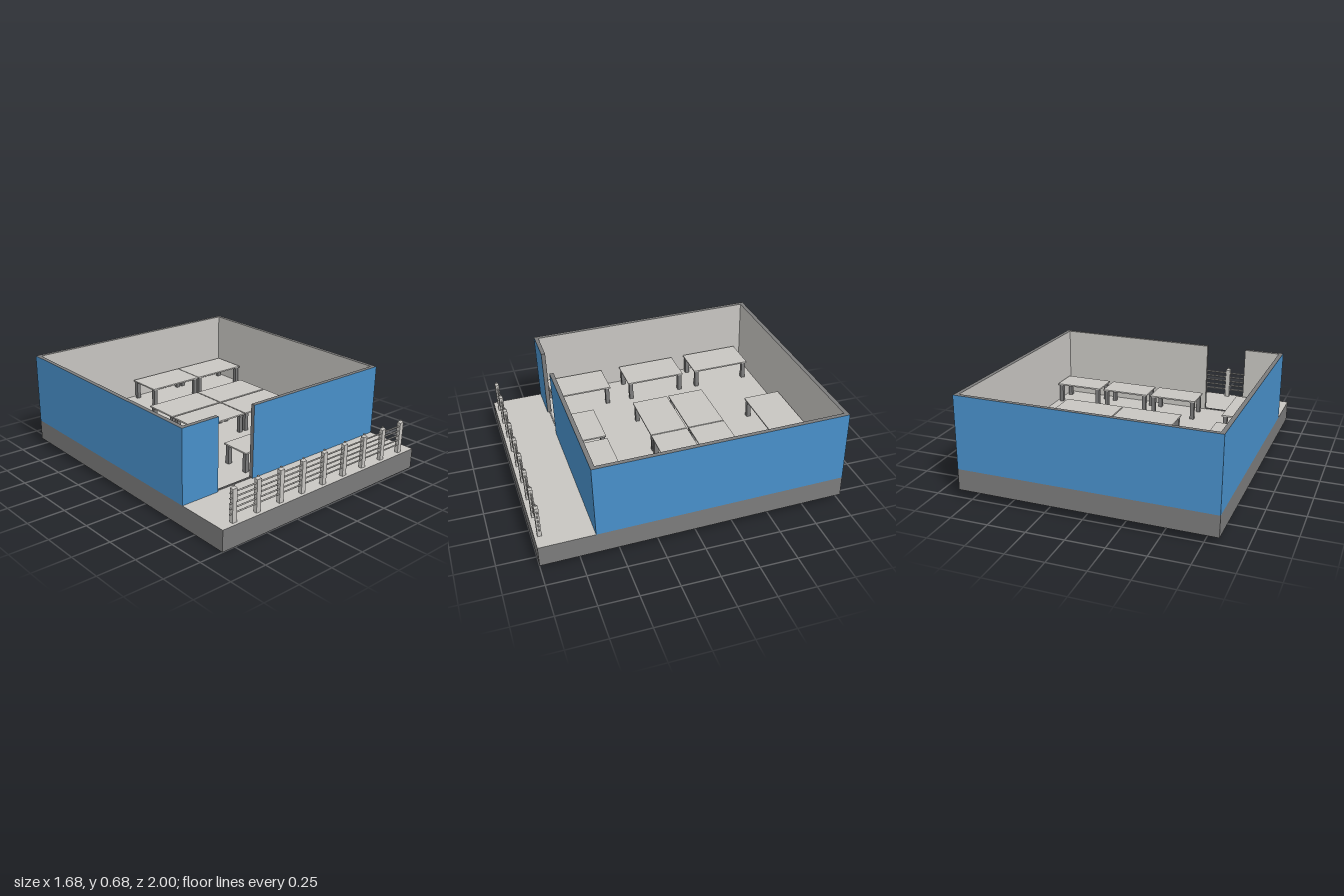
import * as THREE from 'three';

export function createModel() {
  const mat = (name, color) => {
    const m = new THREE.MeshStandardMaterial({ color });
    m.name = name;
    return m;
  };
  const light = mat('light plaster', 0xc8c6c2);
  const gray = mat('concrete gray', 0x7b7b7b);
  const blue = mat('wall blue', 0x4890ca);

  const model = new THREE.Group();
  model.name = 'furnishedRoom';
  const room = new THREE.Group();
  room.name = 'tiltedRoom';
  model.add(room);

  // Box from min and max corners
  function box(parent, name, [x0, y0, z0], [x1, y1, z1], material) {
    const mesh = new THREE.Mesh(new THREE.BoxGeometry(x1 - x0, y1 - y0, z1 - z0), material);
    mesh.position.set((x0 + x1) / 2, (y0 + y1) / 2, (z0 + z1) / 2);
    mesh.name = name;
    parent.add(mesh);
    return mesh;
  }

  const W = 0.84, floor = 0.14, top = 0.627, T = 0.028, front = 0.643;

  // Base slab with a light floor on top
  box(room, 'slab', [-W, 0, -1], [W, floor, 1], [gray, gray, light, gray, gray, gray]);

  // Walls: blue outside, light inside, gray cut edges (+x -x +y -y +z -z)
  box(room, 'leftWall', [W - T, floor, -1 + T], [W, top, front - T], [blue, light, gray, gray, blue, blue]);
  box(room, 'rightWall', [-W, floor, -1 + T], [-W + T, top, front - T], [light, blue, gray, gray, blue, blue]);
  box(room, 'backWall', [-W, floor, -1], [W, top, -1 + T], [blue, blue, gray, gray, light, blue]);
  box(room, 'frontWallWide', [-0.29, floor, front - T], [W, top, front], [blue, gray, gray, gray, blue, light]);
  box(room, 'frontWallNarrow', [-W, floor, front - T], [-0.57, top, front], [gray, blue, gray, gray, blue, light]);
  box(room, 'doorThreshold', [-0.57, floor, front - 0.023], [-0.29, floor + 0.006, front - 0.012], gray);

  // Tables: [xMin, xMax, zMin, zMax]
  const tables = [
    [-0.79, -0.53, -0.915, -0.49], [-0.79, -0.53, -0.395, 0.03], [-0.79, -0.53, 0.17, 0.595],
    [-0.055, 0.37, -0.955, -0.695], [0.375, 0.8, -0.955, -0.695],
    [-0.27, 0.155, -0.448, -0.193], [0.163, 0.588, -0.448, -0.193],
    [-0.27, 0.155, -0.18, 0.075], [0.163, 0.588, -0.18, 0.075],
    [-0.28, 0.06, 0.362, 0.567], [0.09, 0.43, 0.362, 0.567], [0.46, 0.8, 0.362, 0.567],
  ];
  const tableTop = floor + 0.14, thick = 0.01, leg = 0.028, inset = 0.008;
  for (const [x0, x1, z0, z1] of tables) {
    const table = new THREE.Group();
    table.name = 'table';
    room.add(table);
    box(table, 'tableTop', [x0, tableTop - thick, z0], [x1, tableTop, z1], light);
    for (const x of [x0 + inset, x1 - inset - leg])
      for (const z of [z0 + inset, z1 - inset - leg])
        box(table, 'tableLeg', [x, floor, z], [x + leg, tableTop - thick, z + leg], gray);
  }

  // Fence: posts with tapered caps, joined by round rails
  const fence = new THREE.Group();
  fence.name = 'fence';
  fence.position.set(0, floor, 0.966);
  room.add(fence);
  for (let i = 0; i < 9; i++) {
    const x = -0.735 + i * 0.1825;
    box(fence, 'fencePost', [x - 0.016, 0, -0.013], [x + 0.016, 0.212, 0.013], light);
    const cap = new THREE.Mesh(
      new THREE.CylinderGeometry(0.008, 0.0225, 0.013, 4).rotateY(Math.PI / 4).scale(1, 1, 0.8), light);
    cap.position.set(x, 0.2185, 0);
    cap.name = 'postCap';
    fence.add(cap);
    box(fence, 'postTip', [x - 0.005, 0.225, -0.005], [x + 0.005, 0.231, 0.005], light);
  }
  for (let i = 0; i < 5; i++) {
    const rail = new THREE.Mesh(new THREE.CylinderGeometry(0.005, 0.005, 1.52, 10).rotateZ(Math.PI / 2), light);
    rail.position.set(-0.003, 0.055 + i * 0.033, 0);
    rail.name = 'fenceRail';
    fence.add(rail);
  }

  // Slight slope: back and left side raised
  room.rotation.set(0.0225, 0, 0.0048);
  room.position.y = 0.0265;
  return model;
}
